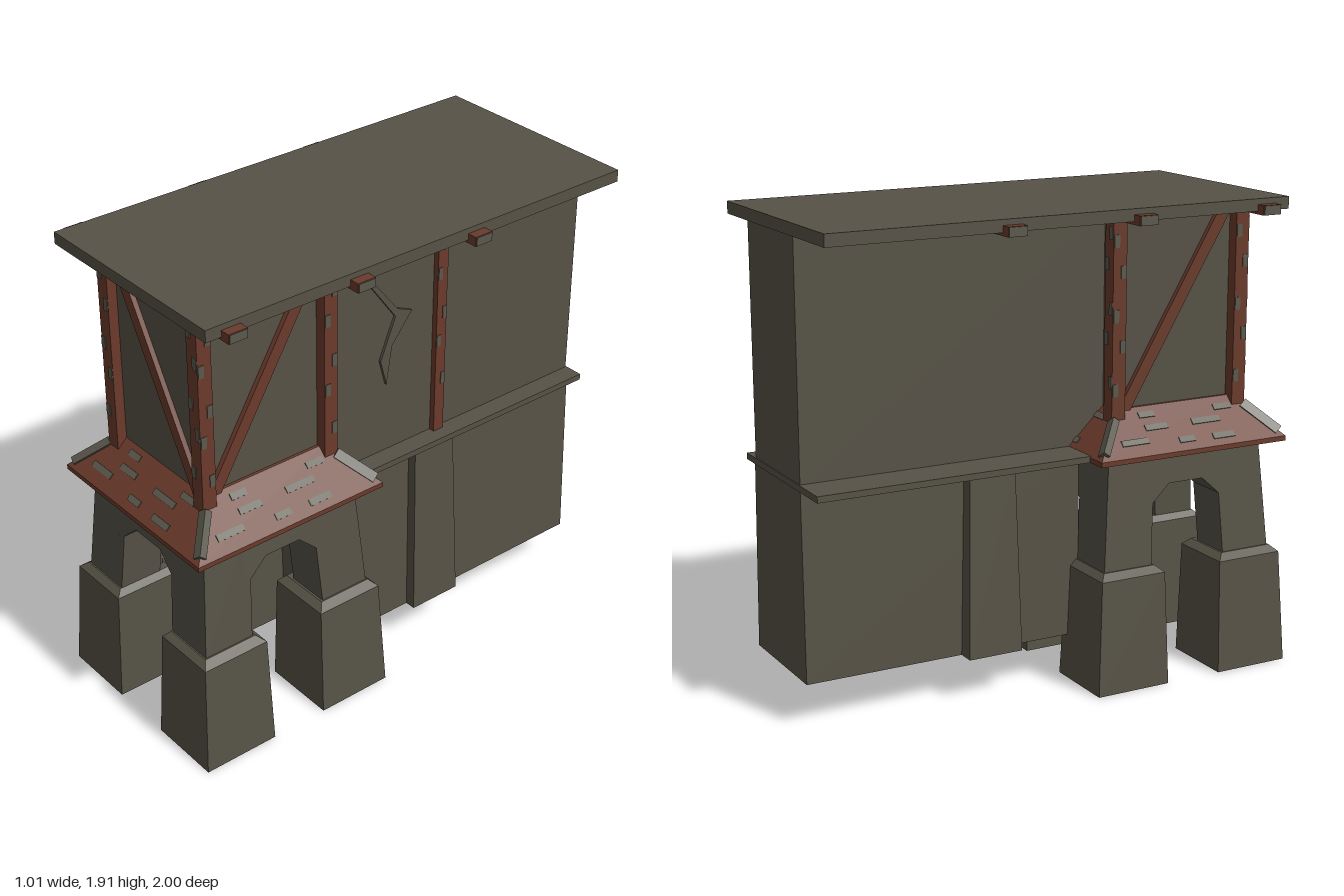
import * as THREE from 'three';

const mat = (name, color, side = THREE.FrontSide) => {
  const m = new THREE.MeshStandardMaterial({ color, side });
  m.name = name;
  return m;
};

// Stacked rectangles [y, x0, x1, z0, z1] joined into a flat-sided solid
function stack(rings, bottom = true) {
  const pos = [], idx = [];
  rings.forEach(([y, x0, x1, z0, z1]) => pos.push(x0, y, z1, x1, y, z1, x1, y, z0, x0, y, z0));
  for (let r = 0; r < rings.length - 1; r++) {
    for (let i = 0; i < 4; i++) {
      const a = r * 4 + i, b = r * 4 + (i + 1) % 4;
      idx.push(a, b, b + 4, a, b + 4, a + 4);
    }
  }
  const t = (rings.length - 1) * 4;
  idx.push(t, t + 1, t + 2, t, t + 2, t + 3);
  if (bottom) idx.push(0, 2, 1, 0, 3, 2);
  const g = new THREE.BufferGeometry();
  g.setAttribute('position', new THREE.Float32BufferAttribute(pos, 3));
  g.setIndex(idx);
  const flat = g.toNonIndexed();
  flat.computeVertexNormals();
  return flat;
}

export function createModel() {
  const model = new THREE.Group();
  model.name = 'timberHouse';
  const stone = mat('weatheredStone', 0x565246);
  const hollowStone = mat('hollowStone', 0x565246, THREE.DoubleSide);
  const red = mat('rustRed', 0x6a3a2b);
  const worn = mat('wornPatch', 0x5b594d);

  const add = (parent, name, geo, material, x = 0, y = 0, z = 0) => {
    const m = new THREE.Mesh(geo, material);
    m.name = name;
    m.position.set(x, y, z);
    parent.add(m);
    return m;
  };
  const block = (parent, name, material, x0, x1, y0, y1, z0, z1) =>
    add(parent, name, new THREE.BoxGeometry(x1 - x0, y1 - y0, z1 - z0), material,
      (x0 + x1) / 2, (y0 + y1) / 2, (z0 + z1) / 2);
  // Rectangular timber running between two points
  const timber = (parent, name, material, a, b, w, d) => {
    const p = new THREE.Vector3(...a), q = new THREE.Vector3(...b);
    const m = add(parent, name, new THREE.BoxGeometry(w, p.distanceTo(q), d), material);
    m.position.copy(p).lerp(q, 0.5);
    m.quaternion.setFromUnitVectors(new THREE.Vector3(0, 1, 0), q.sub(p).normalize());
    return m;
  };

  // Roof slab and cross beams
  block(model, 'roof', stone, -0.46, 0.46, 1.862, 1.91, -1, 0.94);
  for (const z of [0.835, 0.28, -0.27]) {
    block(model, 'roofBeam', red, -0.5, 0.5, 1.85, 1.888, z - 0.04, z + 0.04);
    for (const s of [-1, 1]) {
      block(model, 'beamEnd', worn, s * 0.5 - 0.004, s * 0.5 + 0.004, 1.852, 1.886, z - 0.037, z + 0.037);
    }
  }

  // Rear building: upper wall, ledge and hanging lower wall
  block(model, 'rearUpperWall', stone, -0.17, 0.265, 0.93, 1.862, -0.995, 0.3);
  block(model, 'ledge', stone, -0.34, 0.345, 0.925, 0.95, -1, 0.2);
  add(model, 'rearLowerWall', stack([
    [0.175, -0.18, 0.3, -0.995, 0.18], [0.925, -0.17, 0.275, -0.995, 0.18]]), stone);
  add(model, 'leftButtress', stack([
    [0.175, 0.2, 0.345, -0.345, -0.115], [0.925, 0.2, 0.315, -0.325, -0.13]]), stone);
  add(model, 'rightButtress', stack([
    [0.175, -0.25, -0.1, -0.345, -0.115], [0.925, -0.22, -0.1, -0.325, -0.13]]), stone);

  // Split in the left wall: a raised sliver of plaster
  const crack = new THREE.Shape([
    [-0.1, 1.86], [-0.075, 1.7], [0.05, 1.53], [-0.02, 1.36], [0.01, 1.25], [0.035, 1.41],
    [0.13, 1.53], [0.06, 1.56], [-0.06, 1.71], [-0.09, 1.86],
  ].map(([u, v]) => new THREE.Vector2(u, v)));
  const sliver = add(model, 'crackedPlaster',
    new THREE.ExtrudeGeometry(crack, { depth: 0.012, bevelEnabled: false }), stone, 0.264);
  sliver.rotation.y = Math.PI / 2;

  // Front tower, built around its own centre
  const tower = new THREE.Group();
  tower.name = 'tower';
  tower.position.z = 0.56;
  model.add(tower);
  block(tower, 'towerWall', stone, -0.255, 0.255, 0.93, 1.862, -0.27, 0.27);
  add(tower, 'tileSkirt', stack([
    [0.925, -0.428, 0.428, -0.428, 0.428], [0.945, -0.428, 0.428, -0.428, 0.428],
    [1.1, -0.267, 0.267, -0.267, 0.267]]), red);

  // Leaning wall with a chamfered arch cut from its foot
  const arch = new THREE.Shape([
    [-0.385, 0.47], [-0.17, 0.47], [-0.155, 0.73], [-0.078, 0.8], [0.078, 0.8], [0.155, 0.73],
    [0.17, 0.47], [0.385, 0.47], [0.35, 0.925], [-0.35, 0.925],
  ].map(([u, v]) => new THREE.Vector2(u, v)));
  const archGeo = new THREE.ExtrudeGeometry(arch, { depth: 0.18, bevelEnabled: false });
  const p = archGeo.attributes.position;
  for (let i = 0; i < p.count; i++) {
    p.setZ(i, p.getZ(i) + 0.205 - (p.getY(i) - 0.47) * 0.077);
  }
  archGeo.computeVertexNormals();

  // Four matching sides: arch wall and worn tiles, [across, up the slope, width]
  const tiles = [[-0.25, 0.3, 0.12], [-0.13, 0.55, 0.1], [0.1, 0.55, 0.13], [0.15, 0.2, 0.1],
    [-0.02, 0.22, 0.07], [0.2, 0.78, 0.08], [-0.15, 0.82, 0.07]];
  for (let k = 0; k < 4; k++) {
    const side = new THREE.Group();
    side.name = 'towerSide';
    side.rotation.y = k * Math.PI / 2;
    tower.add(side);
    add(side, 'archWall', archGeo, stone);
    for (const [x, t, w] of tiles) {
      const tile = add(side, 'wornTile', new THREE.BoxGeometry(w, 0.026, 0.008), worn,
        x, 0.945 + t * 0.155, 0.428 - t * 0.161);
      tile.rotation.x = -Math.PI / 4;
    }
    timber(side, 'hipCap', worn, [0.405, 0.962, 0.405], [0.3, 1.065, 0.3], 0.04, 0.03);
  }

  // Corner feet and posts
  const span = (s, a, b) => (s > 0 ? [a, b] : [-b, -a]);
  const post = (parent, x, z, y0, w) => {
    block(parent, 'post', red, x - w / 2, x + w / 2, y0, 1.855, z - w / 2, z + w / 2);
    [1.16, 1.33, 1.45, 1.62, 1.74].forEach((y, i) => {
      const o = (i % 2 ? 1 : -1) * w * 0.26, h = 0.05;
      const sx = Math.sign(x) * w / 2;
      block(parent, 'wornPatch', worn, x + sx - 0.003, x + sx + 0.003, y, y + h, z + o - w / 5, z + o + w / 5);
      const sz = (z < 0 ? -1 : 1) * w / 2;
      block(parent, 'wornPatch', worn, x + o - w / 5, x + o + w / 5, y + 0.03, y + 0.03 + h, z + sz - 0.003, z + sz + 0.003);
    });
  };
  for (const sx of [-1, 1]) {
    for (const sz of [-1, 1]) {
      add(tower, 'foot', stack([
        [0, ...span(sx, 0.135, 0.447), ...span(sz, 0.12, 0.44)],
        [0.46, ...span(sx, 0.147, 0.423), ...span(sz, 0.13, 0.416)],
        [0.485, ...span(sx, 0.17, 0.39), ...span(sz, 0.16, 0.39)]], false), hollowStone);
      post(tower, sx * 0.272, sz * 0.28, 1.05, 0.06);
    }
  }
  post(model, 0.265, -0.27, 0.95, 0.048);

  // Diagonal braces on the front and both sides
  timber(tower, 'frontBrace', red, [-0.21, 1.86, 0.275], [0.24, 1.09, 0.275], 0.05, 0.03);
  timber(tower, 'leftBrace', red, [0.26, 1.86, -0.22], [0.26, 1.09, 0.24], 0.03, 0.05);
  timber(tower, 'rightBrace', red, [-0.26, 1.86, 0.22], [-0.26, 1.09, -0.24], 0.03, 0.05);

  return model;
}
